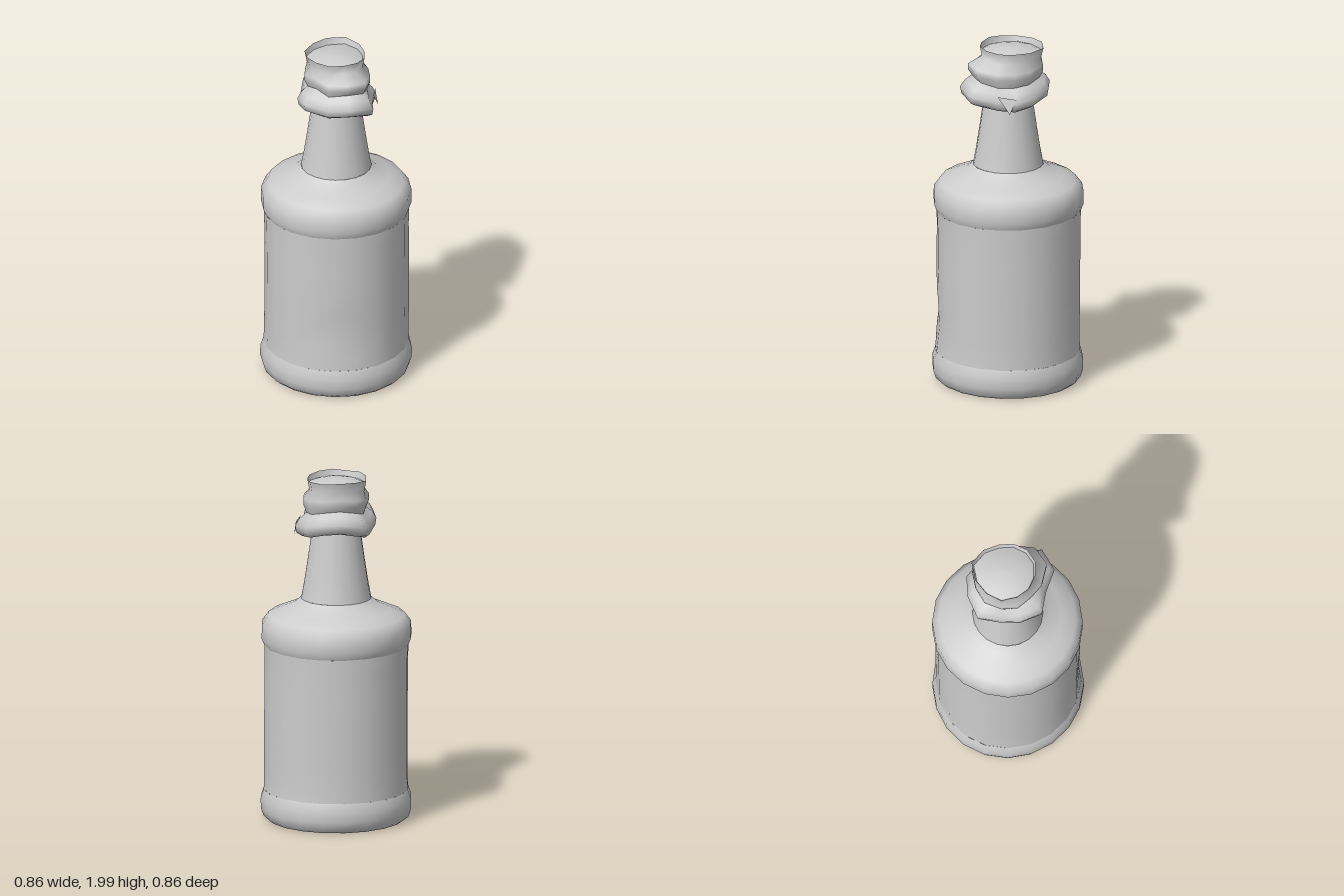
import * as THREE from 'three';

// Joins rings of points (counter-clockwise seen from above, bottom ring first) into one smooth skin.
function loft(rings, material, name) {
  const n = rings[0].length;
  const pos = [], index = [];
  rings.forEach(ring => ring.forEach(p => pos.push(...p)));
  for (let i = 0; i < rings.length - 1; i++) {
    for (let j = 0; j < n; j++) {
      const a = i * n + j, b = i * n + (j + 1) % n;
      index.push(a, b, b + n, a, b + n, a + n);
    }
  }
  const g = new THREE.BufferGeometry();
  g.setAttribute('position', new THREE.Float32BufferAttribute(pos, 3));
  g.setIndex(index);
  g.computeVertexNormals();
  const mesh = new THREE.Mesh(g, material);
  mesh.name = name;
  return mesh;
}

// Ring with a radius rule and a height rule, both by angle index
function ring(n, radius, height) {
  return Array.from({ length: n }, (_, j) => {
    const a = j / n * Math.PI * 2, r = radius(j, a);
    return [r * Math.cos(a), height(j, a), -r * Math.sin(a)];
  });
}

export function createModel() {
  const group = new THREE.Group();
  group.name = 'bottle';
  const grey = new THREE.MeshStandardMaterial({ color: 0xcccccc, side: THREE.DoubleSide });
  grey.name = 'plain grey';

  // Round profile pieces: [radius, height]
  const turned = (profile, name, wobble = 0) => {
    const rings = profile.map(([r, y]) => ring(20,
      (j, a) => {
        const x = Math.cos(a) * r, z = -Math.sin(a) * r;
        // shallow slanting crease in the front of the wall
        const across = (y - 0.4) + 0.7 * (x + 0.09);
        const along = (x + 0.09) - 0.7 * (y - 0.4);
        const dent = z > 0 && y > 0.2 && y < 1
          ? 0.02 * Math.exp(-across * across / 0.008 - along * along / 0.04) : 0;
        return r * (1 + wobble * Math.sin(3 * a + y * 4)) - dent;
      },
      () => y));
    group.add(loft(rings, grey, name));
  };

  turned([[0, 0.005], [0.39, 0.005]], 'bottomFace');
  turned([[0.39, 0.005], [0.415, 0.025], [0.43, 0.07], [0.43, 0.13], [0.413, 0.18]], 'baseRim', 0.008);
  turned([[0.413, 0.18], [0.41, 0.24], [0.41, 0.33], [0.41, 0.42], [0.41, 0.52], [0.41, 0.65],
    [0.41, 0.8], [0.41, 0.92], [0.412, 1.02]], 'labelWall', 0.006);
  turned([[0.412, 1.02], [0.428, 1.06], [0.427, 1.14], [0.39, 1.19], [0.31, 1.225],
    [0.24, 1.255], [0.2, 1.29]], 'shoulder', 0.005);
  turned([[0.2, 1.29], [0.185, 1.37], [0.165, 1.5], [0.145, 1.64], [0.13, 1.75]], 'neck');

  // Crumpled cap: radii and heights every 30 degrees, starting at +x and turning to the back
  const flare = [0.235, 0.22, 0.24, 0.24, 0.26, 0.21, 0.23, 0.262, 0.22, 0.28, 0.29, 0.21];
  const bulge = [0.19, 0.195, 0.21, 0.195, 0.2, 0.185, 0.19, 0.18, 0.2, 0.235, 0.235, 0.2];
  const lip = [0.165, 0.185, 0.21, 0.195, 0.185, 0.185, 0.17, 0.165, 0.16, 0.165, 0.165, 0.165];
  const sag = [-0.03, -0.02, 0.01, 0.02, 0, -0.03, 0, 0.02, -0.01, 0.02, 0, -0.03];
  const scaled = (list, k, y, drop = 0) => ring(12, j => list[j] * k, j => y + sag[j] * drop);

  group.add(loft([
    scaled(lip, 0.75, 1.71, 0.5),
    scaled(flare, 0.84, 1.685, 1),
    scaled(flare, 0.97, 1.705, 1),
    scaled(flare, 1, 1.745, 1),
    scaled(flare, 0.9, 1.785, 1),
    scaled(bulge, 0.9, 1.815, 0.8),
  ], grey, 'capSkirt'));
  group.add(loft([
    scaled(bulge, 0.9, 1.815, 0.8),
    scaled(bulge, 0.99, 1.855, 0.5),
    scaled(bulge, 0.99, 1.89, 0.5),
    scaled(lip, 0.93, 1.935, 0.4),
    scaled(lip, 1, 1.995, 0.2),
  ], grey, 'capBand'));

  // Thin raised lip around a slightly domed top
  group.add(loft([scaled(lip, 1, 1.995, 0.2), scaled(lip, 0.94, 1.96)], grey, 'capLip'));
  group.add(loft([
    scaled(lip, 0.94, 1.96), scaled(lip, 0.7, 1.975), scaled(lip, 0.35, 1.987), scaled(lip, 0, 1.99),
  ], grey, 'capTop'));

  // Torn tab hanging from the front of the skirt
  const tab = new THREE.BufferGeometry();
  tab.setAttribute('position', new THREE.Float32BufferAttribute([
    0.19, 1.75, 0.1, 0.235, 1.655, 0.04, 0.23, 1.74, 0], 3));
  tab.computeVertexNormals();
  const tabMesh = new THREE.Mesh(tab, grey);
  tabMesh.name = 'tornTab';
  group.add(tabMesh);

  return group;
}
